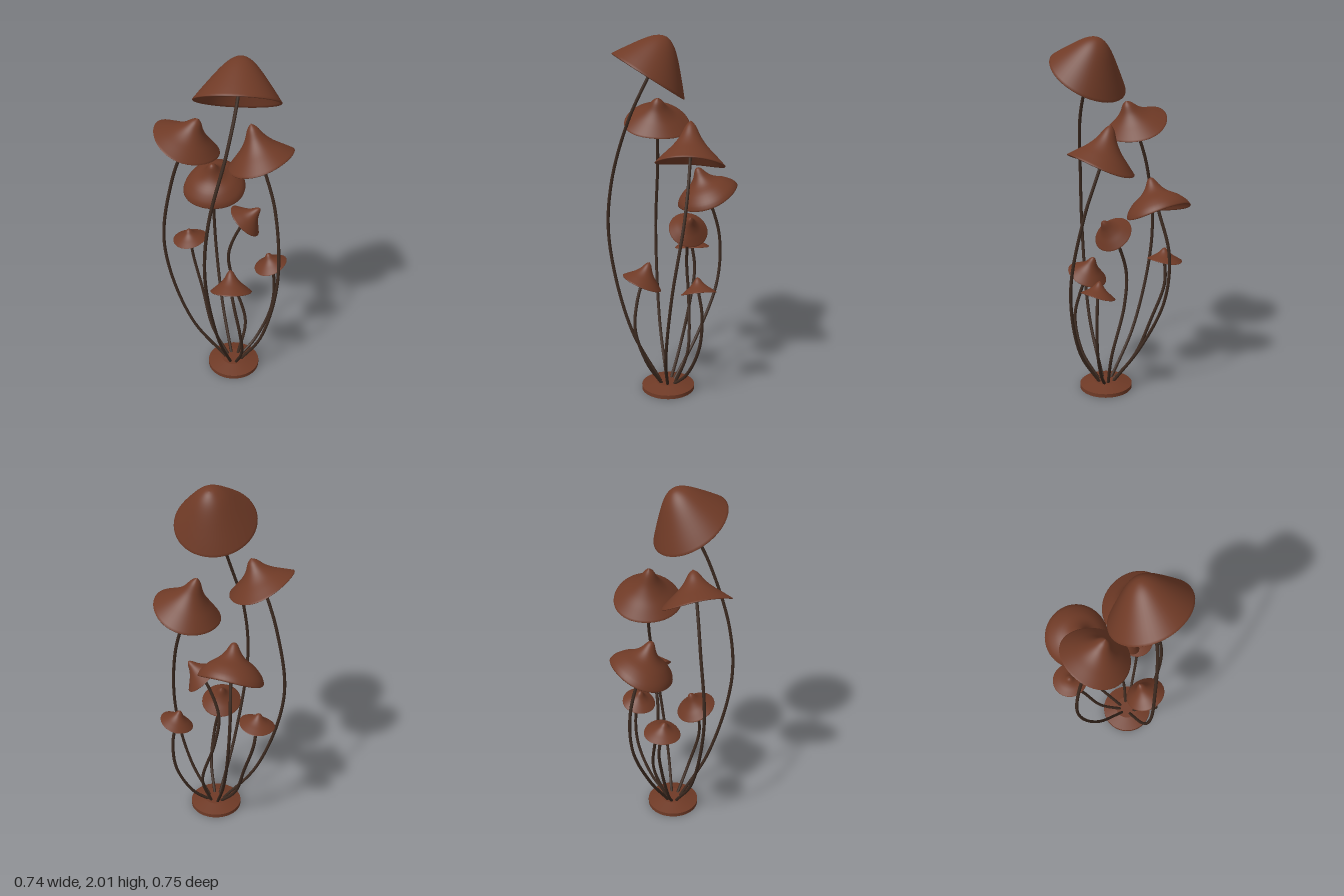
import * as THREE from 'three';

const brown = new THREE.MeshStandardMaterial({ color: 0x6f3a26 });
brown.name = 'rustBrown';
const dark = new THREE.MeshStandardMaterial({ color: 0x3c2a20 });
dark.name = 'darkStem';

const BASE = new THREE.Vector3(0.05, 0.03, 0.07);
const V = (x, y, z) => new THREE.Vector3(x, y, z);
const P = (r, h) => new THREE.Vector2(r, h);

// Half profiles (radius, height), both normalised to 1
const cone = [P(1, 0), P(0.8, 0.27), P(0.5, 0.65), P(0.3, 0.86), P(0.13, 0.97), P(0, 1)];
const hat = [P(1, 0), P(0.75, 0.2), P(0.5, 0.4), P(0.3, 0.62), P(0.14, 0.88), P(0, 1)];
const bell = [P(1, 0), P(0.92, 0.16), P(0.7, 0.37), P(0.42, 0.54), P(0.24, 0.72), P(0.1, 0.95), P(0, 1)];

// Thin shell: underside from the middle to the rim, then the outside up to the tip
function capGeometry(profile, rim, tip, radius, [tiltX, tiltZ], wave) {
  const outer = new THREE.SplineCurve(profile).getPoints(20);
  outer.forEach((p) => { p.x = Math.max(p.x, 0); });
  const inner = outer.map((p) => P(p.x * 0.985, p.y * 0.95 - 0.02)).reverse();
  const geo = new THREE.LatheGeometry([...inner, ...outer], 48);

  // Gentle waviness towards the rim
  const pos = geo.attributes.position;
  for (let i = 0; i < pos.count; i++) {
    const x = pos.getX(i), z = pos.getZ(i);
    pos.setY(i, pos.getY(i) + wave * Math.sin(2 * Math.atan2(z, x) + 1) * (x * x + z * z));
  }

  // Tilt the rim and lean the tip to its place
  const q = new THREE.Quaternion().setFromUnitVectors(V(0, 1, 0), V(tiltX, 1, tiltZ).normalize());
  const ux = V(radius, 0, 0).applyQuaternion(q);
  const uz = V(0, 0, radius).applyQuaternion(q);
  const axis = tip.clone().sub(rim);
  return geo.applyMatrix4(new THREE.Matrix4().makeBasis(ux, axis, uz).setPosition(rim));
}

// A cap on a thin stem; bends are the points the stem curves through on its way up
function mushroom(name, { profile = hat, rim, tip, radius, tilt, wave = 0, bends }) {
  const group = new THREE.Group();
  group.name = name;

  const cap = new THREE.Mesh(capGeometry(profile, rim, tip, radius, tilt, wave), brown);
  cap.name = 'cap';

  // The root sits near the base centre, on the side the stem leans to
  const root = bends[0].clone().sub(BASE).setY(0).setLength(0.04).add(BASE);
  const inside = rim.clone().lerp(tip, 0.6);
  const path = new THREE.CatmullRomCurve3([root, ...bends, rim, inside]);
  const stem = new THREE.Mesh(new THREE.TubeGeometry(path, 64, 0.009, 8), dark);
  stem.name = 'stem';

  group.add(cap, stem);
  return group;
}

// Round base plate with a low sloping top
function base() {
  const group = new THREE.Group();
  group.name = 'base';
  const plate = new THREE.Mesh(new THREE.CylinderGeometry(0.15, 0.15, 0.022, 48), brown);
  plate.name = 'basePlate';
  plate.position.set(BASE.x, 0.011, BASE.z);
  const slope = new THREE.Mesh(new THREE.CylinderGeometry(0.07, 0.15, 0.02, 48), brown);
  slope.name = 'baseTop';
  slope.position.set(BASE.x, 0.032, BASE.z);
  group.add(plate, slope);
  return group;
}

export function createModel() {
  const model = new THREE.Group();
  model.name = 'mushroomCluster';
  model.add(base());

  // Tall mushrooms
  model.add(mushroom('topMushroom', {
    profile: cone, rim: V(0.06, 1.8, 0.175), tip: V(0.078, 2, 0.08), radius: 0.222, tilt: [0.04, -0.65],
    bends: [V(-0.04, 0.36, 0.265), V(-0.103, 0.87, 0.365), V(-0.08, 1.2, 0.353), V(0.01, 1.56, 0.275)],
  }));
  model.add(mushroom('upperLeftMushroom', {
    rim: V(-0.205, 1.505, 0.055), tip: V(-0.14, 1.65, 0.07), radius: 0.185, tilt: [0.42, 0.06], wave: 0.1,
    bends: [V(-0.2, 0.32, 0.05), V(-0.343, 0.83, 0.03), V(-0.29, 1.25, 0.03)],
  }));
  model.add(mushroom('upperRightMushroom', {
    rim: V(0.19, 1.36, -0.012), tip: V(0.13, 1.57, -0.035), radius: 0.187, tilt: [-0.32, -0.16], wave: 0.05,
    bends: [V(0.21, 0.25, 0.13), V(0.295, 0.65, 0.12), V(0.27, 1.08, 0.04)],
  }));

  // Middle mushrooms
  model.add(mushroom('middleBackMushroom', {
    profile: bell, rim: V(-0.07, 1.085, -0.205), tip: V(-0.08, 1.26, -0.14), radius: 0.178, tilt: [-0.1, 0.36], wave: -0.08,
    bends: [V(-0.02, 0.28, -0.13), V(-0.06, 0.58, -0.26), V(-0.075, 0.85, -0.275)],
  }));
  model.add(mushroom('middleSideMushroom', {
    rim: V(0.107, 0.962, -0.03), tip: V(0.19, 1.055, -0.02), radius: 0.108, tilt: [0.93, 0],
    bends: [V(0.118, 0.24, -0.025), V(0.04, 0.53, -0.055), V(0.017, 0.73, -0.05)],
  }));

  // Small mushrooms
  model.add(mushroom('smallLeftMushroom', {
    rim: V(-0.21, 0.755, -0.153), tip: V(-0.22, 0.825, -0.145), radius: 0.1, tilt: [-0.15, 0], wave: 0.08,
    bends: [V(-0.08, 0.18, -0.04), V(-0.14, 0.41, -0.115), V(-0.195, 0.62, -0.166)],
  }));
  model.add(mushroom('smallFrontMushroom', {
    rim: V(0.035, 0.655, 0.215), tip: V(0.03, 0.77, 0.17), radius: 0.115, tilt: [0, -0.45],
    bends: [V(0.098, 0.2, 0.21), V(0.085, 0.4, 0.27), V(0.055, 0.55, 0.25)],
  }));
  model.add(mushroom('smallRightMushroom', {
    rim: V(0.26, 0.653, -0.042), tip: V(0.24, 0.735, -0.04), radius: 0.097, tilt: [-0.34, 0], wave: 0.06,
    bends: [V(0.18, 0.13, 0), V(0.27, 0.33, -0.045), V(0.283, 0.53, -0.054)],
  }));

  // Small side bump beside the tip of the upper left cap
  const bump = new THREE.Mesh(new THREE.SphereGeometry(0.028, 20, 14), brown);
  bump.name = 'capBump';
  bump.scale.y = 1.3;
  bump.position.set(-0.18, 1.57, 0.095);
  model.add(bump);

  return model;
}
